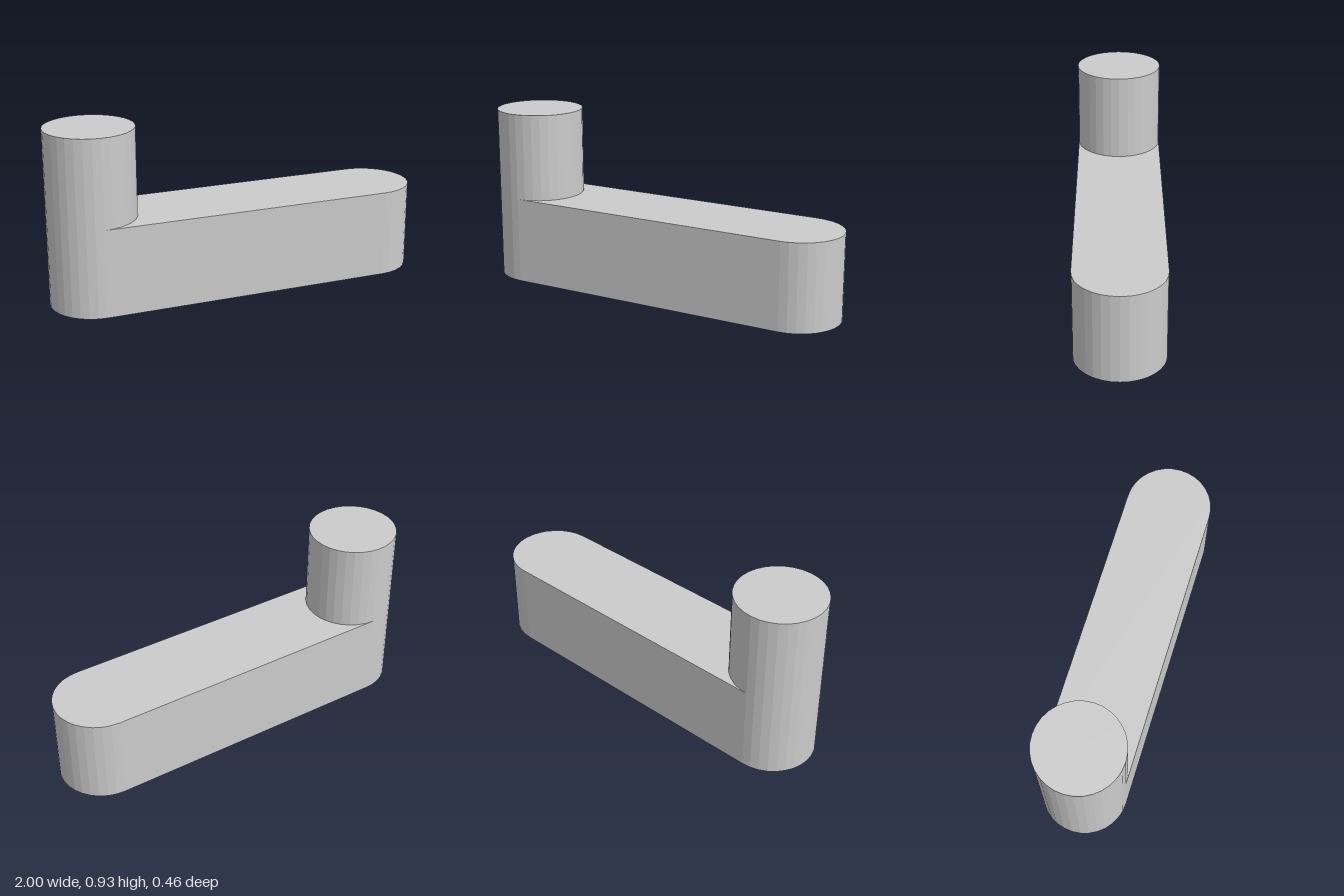
import * as THREE from 'three';

const RADIUS = 0.23;
const ARM_HEIGHT = 0.462;
const TOTAL_HEIGHT = 0.925;
const END_X = 1 - RADIUS; // centre of each rounded end

export function createModel() {
  const model = new THREE.Group();
  model.name = 'crank';
  const material = new THREE.MeshStandardMaterial({ color: 0xcccccc, flatShading: true });

  // Horizontal arm with two half-round ends, 16 facets each
  const outline = new THREE.Shape();
  outline.absarc(END_X, 0, RADIUS, -Math.PI / 2, Math.PI / 2, false);
  outline.absarc(-END_X, 0, RADIUS, Math.PI / 2, Math.PI * 1.5, false);
  outline.closePath();
  const armGeometry = new THREE.ExtrudeGeometry(outline, {
    depth: ARM_HEIGHT, bevelEnabled: false, curveSegments: 8,
  });
  armGeometry.rotateX(-Math.PI / 2);
  const arm = new THREE.Mesh(armGeometry, material);
  arm.name = 'arm';
  model.add(arm);

  // Round post standing flush on the right end of the arm
  const postHeight = TOTAL_HEIGHT - ARM_HEIGHT;
  const post = new THREE.Mesh(
    new THREE.CylinderGeometry(RADIUS, RADIUS, postHeight, 32), material);
  post.name = 'post';
  post.position.set(-END_X, ARM_HEIGHT + postHeight / 2, 0);
  model.add(post);

  return model;
}
